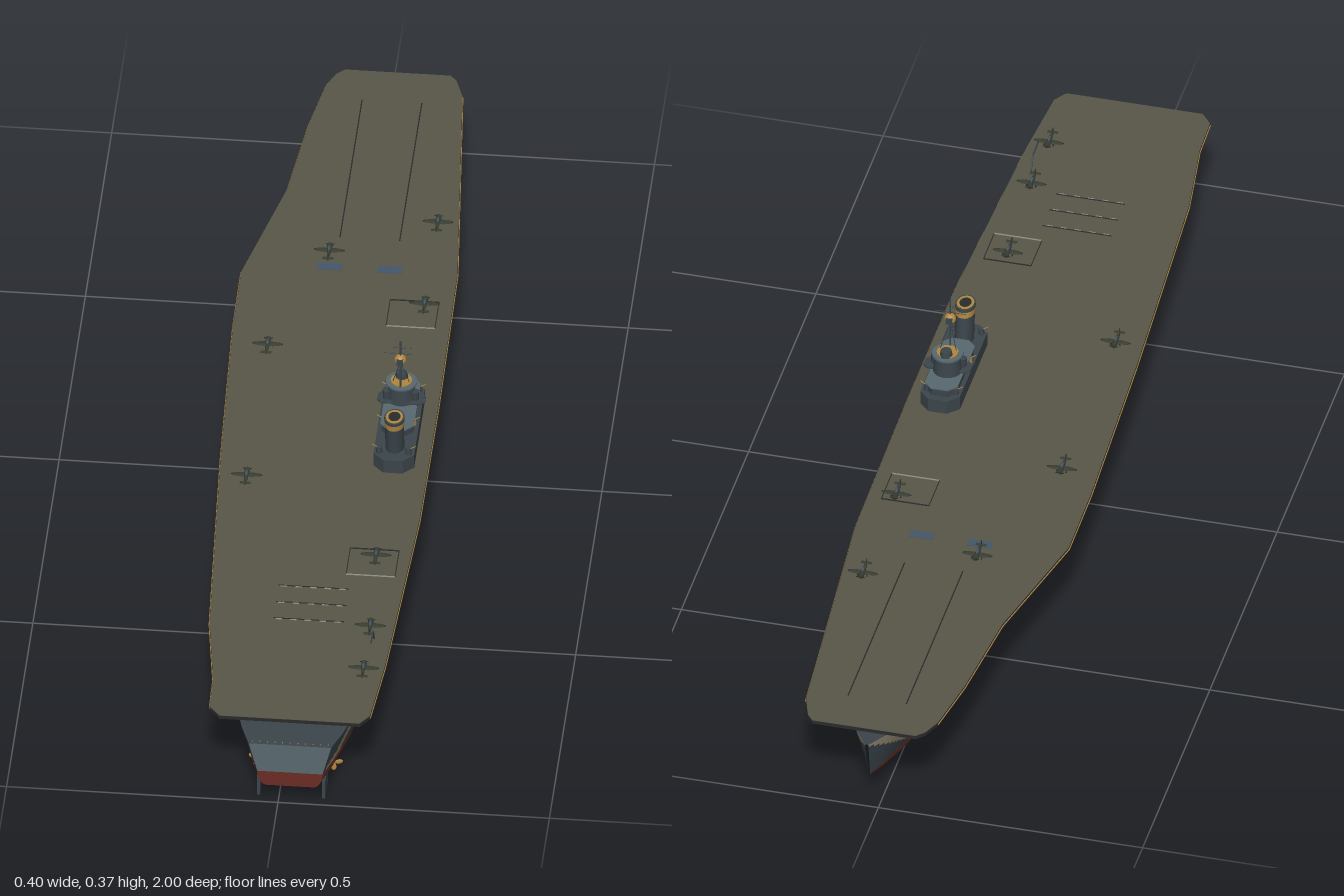
import * as THREE from 'three';

const mat = (name, color) => Object.assign(new THREE.MeshStandardMaterial({ color }), { name });
const M = {
  deck: mat('deck olive', 0x585648),
  red: mat('antifouling red', 0x6a2c25),
  dark: mat('dark slate', 0x3b454b),
  grey: mat('blue grey', 0x596970),
  sand: mat('sand', 0x958a73),
  blue: mat('dull blue', 0x44566a),
  gold: mat('brass', 0xb08740),
  plane: mat('aircraft green', 0x3a3f34),
  line: mat('marking grey', 0x8f9088),
  black: mat('track black', 0x2a2c2b),
};
const CX = 0.022; // hull centreline

// Piecewise linear interpolation through [key, value] pairs
function lerp(table, k) {
  if (k <= table[0][0]) return table[0][1];
  for (let i = 1; i < table.length; i++) {
    const [a, va] = table[i - 1], [b, vb] = table[i];
    if (k <= b) return va + (vb - va) * (k - a) / (b - a);
  }
  return table[table.length - 1][1];
}

function add(parent, name, geo, material, x = 0, y = 0, z = 0) {
  const m = new THREE.Mesh(geo, material);
  m.name = name;
  m.position.set(x, y, z);
  parent.add(m);
  return m;
}
const box = (p, name, w, h, d, m, x, y, z) => add(p, name, new THREE.BoxGeometry(w, h, d), m, x, y, z);
const cyl = (p, name, r0, r1, h, m, x, y, z, n = 16) => add(p, name, new THREE.CylinderGeometry(r1, r0, h, n), m, x, y, z);

// Thin round bar between two points
function bar(p, name, a, b, r, m) {
  const A = new THREE.Vector3(...a), B = new THREE.Vector3(...b);
  const o = add(p, name, new THREE.CylinderGeometry(r, r, A.distanceTo(B), 6), m);
  o.position.copy(A).add(B).multiplyScalar(0.5);
  o.quaternion.setFromUnitVectors(new THREE.Vector3(0, 1, 0), B.sub(A).normalize());
  return o;
}

// Vertical prism from a plan outline of [x, z]
function prism(p, name, pts, y0, y1, m) {
  const shape = new THREE.Shape(pts.map(([x, z]) => new THREE.Vector2(x, -z)));
  const g = new THREE.ExtrudeGeometry(shape, { depth: y1 - y0, bevelEnabled: false });
  return add(p, name, g.rotateX(-Math.PI / 2), m, 0, y0, 0);
}
const chamfered = (x0, x1, z0, z1, c) => [[x0 + c, z0], [x1 - c, z0], [x1, z0 + c], [x1, z1 - c],
  [x1 - c, z1], [x0 + c, z1], [x0, z1 - c], [x0, z0 + c]];

// Surface through rows of points; pick(point, row, column) gives each quad its material
function grid(p, name, rows, pick) {
  const n = rows[0].length, mats = Object.values(M), bins = mats.map(() => []);
  for (let i = 0; i < rows.length - 1; i++) for (let j = 0; j < n - 1; j++) {
    const a = i * n + j, c = a + n;
    const mid = [0, 1, 2].map(k => (rows[i][j][k] + rows[i + 1][j + 1][k]) / 2);
    bins[mats.indexOf(pick(mid, i, j))].push(a, a + 1, c, a + 1, c + 1, c);
  }
  const g = new THREE.BufferGeometry();
  g.setAttribute('position', new THREE.Float32BufferAttribute(rows.flat(2), 3));
  g.setIndex(bins.flat());
  let start = 0;
  bins.forEach((b, i) => { if (b.length) g.addGroup(start, b.length, i); start += b.length; });
  g.computeVertexNormals();
  return add(p, name, g, mats);
}

// Hull lines along z, bow at -1 and stern at +1
const beam = [[-1, .003], [-.95, .035], [-.88, .066], [-.75, .105], [-.6, .132], [-.4, .146], [.5, .146], [.7, .138], [.85, .119], [.95, .094], [1, .076]];
const keel = [[-1, .057], [-.96, .042], [-.88, .024], [-.72, .006], [-.5, .002], [.5, .002], [.75, .01], [.9, .024], [1, .04]];
const water = [[-1, .061], [-.8, .057], [.7, .057], [1, .071]];
const fine = [[-1, .5], [-.8, .62], [-.4, .91], [.6, .92], [1, .79]];
const flat = [[-1, .05], [.5, .05], [.8, .3], [1, .74]];
const sheer = [[-1, .141], [-.7, .135], [1, .133]];
const LOW = 10, HIGH = 12;
function section(z) {
  const w = lerp(beam, z), k = lerp(keel, z), wl = lerp(water, z), f = lerp(fine, z), fl = lerp(flat, z), top = lerp(sheer, z);
  const half = [];
  for (let j = 0; j <= LOW; j++) {
    const v = (j / LOW) ** 1.5;
    half.push([w * f * (fl + (1 - fl) * (1 - (1 - v) ** 2.2) ** .65), k + (wl - k) * v]);
  }
  for (let j = 1; j <= HIGH; j++) half.push([w * (f + (1 - f) * j / HIGH), wl + (top - wl) * j / HIGH]);
  // raked stem
  const rake = y => z < -.8 ? .02 * (-.8 - z) / .2 * (.14 - y) / .08 : 0;
  const pt = s => ([x, y]) => [CX + s * x, y, z + Math.min(rake(y), .03)];
  return [...half.slice().reverse().map(pt(-1)), ...half.map(pt(1))];
}

// Slanted camouflage bands: [upper limit, colour]
const bands = [[-.92, M.dark], [-.8, M.sand], [-.62, M.grey], [-.5, M.sand], [-.38, M.dark], [-.22, M.deck], [-.15, M.blue],
  [-.03, M.sand], [.12, M.grey], [.3, M.dark], [.44, M.sand], [.62, M.grey], [.87, M.dark], [.95, M.sand], [2, M.dark]];
const camo = ([, y, z]) => bands.find(b => z + 1.9 * (y - .095) < b[0])[1];

function buildHull(root) {
  const hull = new THREE.Group();
  hull.name = 'hull';
  root.add(hull);
  const rows = Array.from({ length: 161 }, (_, i) => section(-1 + i / 80));
  const n = rows[0].length, last = rows[160];
  const below = j => j >= HIGH && j < n - 1 - HIGH;
  grid(hull, 'hullShell', rows, (m, i, j) => below(j) ? M.red : camo(m));
  grid(hull, 'weatherDeck', rows.map(r => [r[0], r[n - 1]]).reverse(), () => M.dark);
  const pairs = Array.from({ length: n / 2 }, (_, j) => [last[n / 2 - 1 - j], last[n / 2 + j]]);
  grid(hull, 'transom', pairs, (m, i) => i < LOW ? M.red : M.grey);
  // hangar block under the flight deck
  prism(hull, 'hangar', [[CX - .05, -.84], [CX + .05, -.84], [.13, -.7], [.162, -.45], [.162, .55], [.145, .78], [.1, .87],
    [-.06, .87], [-.1, .78], [-.118, .55], [-.118, -.45], [-.086, -.7]], .131, .173, M.dark);
  box(hull, 'hangarDoor', .155, .037, .004, M.grey, CX, .152, .871);
  // rudders, shafts and screws
  for (const s of [-1, 1]) {
    box(hull, 'rudder', .006, .04, .05, M.dark, CX + s * .06, .021, .955);
    bar(hull, 'shaft', [CX + s * .06, .02, .68], [CX + s * .072, .02, .9], .003, M.gold);
    const screw = new THREE.Group();
    screw.name = 'screw';
    screw.position.set(CX + s * .072, .02, .895);
    for (let k = 0; k < 3; k++) {
      const a = k * Math.PI * 2 / 3 + .4;
      const b = add(screw, 'blade', new THREE.SphereGeometry(1, 10, 6), M.gold, Math.cos(a) * .009, Math.sin(a) * .009, 0);
      b.scale.set(.008, .005, .0015);
      b.rotation.set(0, 0, a);
    }
    hull.add(screw);
  }
}

const port = [[-1, -.07], [-.985, -.085], [-.95, -.1], [-.83, -.12], [-.63, -.14], [-.5, -.17], [-.37, -.2], [-.2, -.199], [.2, -.183], [.7, -.155], [.87, -.132], [.955, -.13], [.98, -.11]];
const starboard = [[-1, .125], [-.985, .137], [-.94, .152], [-.75, .167], [-.4, .195], [0, .199], [.35, .198], [.8, .178], [.955, .165], [.98, .148]];

function buildFlightDeck(root) {
  const deck = new THREE.Group();
  deck.name = 'flightDeck';
  root.add(deck);
  const plan = [...starboard, ...port.slice().reverse()].map(([z, x]) => [x, z]);
  prism(deck, 'deckSlab', plan, .172, .178, M.deck);
  prism(deck, 'deckEdge', plan.map(([x, z]) => [x * 1.003, z * 1.0005]), .1705, .1774, M.black);
  prism(deck, 'deckUnderside', plan.map(([x, z]) => [x * .99, z * .995]), .1695, .1706, M.deck);
  // brass side rails
  for (const side of [port, starboard]) for (let i = 2; i < side.length - 2; i++) {
    const [a, b] = [side[i], side[i + 1]].map(([z, x]) => [x * 1.003, .1735, z]);
    bar(deck, 'sideRail', a, b, .0016, M.gold);
  }
  const paint = (name, w, d, m, x, z) => box(deck, name, w, .001, d, m, x, .1784, z);
  for (const x of [-.03, .08]) paint('catapultTrack', .0022, .42, M.black, x, -.7);
  for (let i = 0; i < 3; i++) {
    paint('arresterWire', .13, .002, M.black, .025, .575 + i * .05);
    for (let k = 0; k < 5; k++) paint('arresterMark', .012, .003, M.line, -.03 + k * .027, .577 + i * .05);
  }
  for (const [x, z] of [[.125, -.27], [.125, .49]]) {
    paint('liftEdge', .09, .003, M.black, x, z - .04);
    paint('liftEdge', .09, .003, M.line, x, z + .04);
    for (const s of [-1, 1]) paint('liftSide', .0015, .08, M.black, x + s * .045, z);
  }
  for (const x of [-.04, .07]) paint('blastPlate', .045, .02, M.blue, x, -.4);
  // bracing and guns under the overhang
  for (let i = 0; i <= 30; i++) {
    const z = -.72 + i * .05;
    for (const [edge, s] of [[port, -1], [starboard, 1]]) {
      const x = lerp(edge, z), foot = CX + s * (lerp(beam, z) - .01);
      bar(deck, 'brace', [x * .985, .171, z], [foot, .137, z], .0014, i % 3 ? M.line : M.dark);
      if (i % 6 === 3) {
        const gx = foot + s * .008;
        box(deck, 'gunGallery', .026, .005, .08, M.dark, gx, .136, z);
        for (const k of [-1, 1]) {
          cyl(deck, 'gunMount', .006, .005, .009, M.gold, gx, .143, z + k * .02, 8);
          bar(deck, 'gunBarrel', [gx, .145, z + k * .02], [gx + s * .016, .152, z + k * .02], .0012, M.gold);
        }
      }
    }
  }
  for (let i = 0; i <= 10; i++) bar(deck, 'railPost', [CX - .07 + i * .014, .131, .994], [CX - .07 + i * .014, .135, .994], .001, M.gold);
}

function buildIsland(root) {
  const g = new THREE.Group(), X = .135;
  g.name = 'island';
  root.add(g);
  prism(g, 'islandBase', chamfered(.098, .173, -.028, .215, .02), .178, .206, M.dark);
  prism(g, 'islandTier', chamfered(.106, .164, -.015, .14, .015), .206, .223, M.dark);
  prism(g, 'tierEdge', chamfered(.104, .166, -.017, .142, .015), .221, .2235, M.grey);
  prism(g, 'bridgePlatform', chamfered(.092, .18, .035, .07, .008), .227, .23, M.dark);
  cyl(g, 'bridgeTower', .027, .024, .04, M.dark, X, .241, .045, 20);
  cyl(g, 'bridgeRoof', .029, .029, .004, M.grey, X, .261, .045, 20);
  cyl(g, 'bridgeTop', .02, .02, .002, M.gold, X, .264, .045, 20);
  cyl(g, 'director', .012, .01, .012, M.dark, X, .269, .035, 12);
  // raked oval funnel
  const tube = (name, r, y0, y1, m) => {
    const geo = new THREE.CylinderGeometry(r, r, y1 - y0, 20).scale(1, 1, 1.3);
    const p = geo.attributes.position;
    for (let i = 0; i < p.count; i++) p.setZ(i, p.getZ(i) + .12 * (p.getY(i) + (y0 + y1) / 2 - .206));
    geo.computeVertexNormals();
    add(g, name, geo, m, X, (y0 + y1) / 2, .17);
  };
  tube('funnel', .0175, .2, .276, M.dark);
  tube('funnelBand', .0185, .262, .274, M.gold);
  tube('funnelCap', .0188, .274, .28, M.dark);
  tube('funnelRim', .016, .279, .2806, M.gold);
  tube('funnelMouth', .011, .28, .281, M.black);
  // mast with yards, stays and radar
  const mz = .065;
  bar(g, 'mast', [X, .26, mz], [X, .368, mz], .0018, M.dark);
  for (const [y, w] of [[.353, .02], [.34, .029], [.303, .01]]) bar(g, 'yard', [X - w, y, mz], [X + w, y, mz], .0007, M.dark);
  for (const s of [-1, 1]) {
    bar(g, 'mastLeg', [X, .32, mz], [X + s * .016, .262, mz - .015], .0007, M.dark);
    cyl(g, 'lookoutTub', .007, .008, .018, M.dark, X + s * .026, .239, .055, 10);
    for (const z of [.0, .1, .19]) {
      cyl(g, 'islandGun', .006, .005, .012, z === .1 ? M.gold : M.dark, X + s * .027, .212, z, 8);
      bar(g, 'islandGunBarrel', [X + s * .027, .215, z], [X + s * .04, .223, z], .001, M.gold);
    }
  }
  add(g, 'radar', new THREE.SphereGeometry(.011, 16, 12), M.gold, X, .326, mz);
  box(g, 'radarFrame', .012, .012, .0235, M.dark, X, .326, mz);
}

// Parked propeller aircraft, nose towards the bow
function buildAircraft() {
  const a = new THREE.Group();
  a.name = 'aircraft';
  const body = cyl(a, 'fuselage', .002, .0055, .046, M.plane, 0, .008, .002, 10);
  body.rotation.x = -Math.PI / 2;
  const wing = add(a, 'wing', new THREE.SphereGeometry(1, 16, 6), M.plane, 0, .007, -.006);
  wing.scale.set(.029, .0014, .007);
  box(a, 'tailplane', .02, .0012, .006, M.plane, 0, .009, .022);
  box(a, 'fin', .0012, .009, .006, M.plane, 0, .013, .022);
  const canopy = add(a, 'canopy', new THREE.SphereGeometry(1, 10, 6), M.blue, 0, .013, -.004);
  canopy.scale.set(.003, .003, .008);
  box(a, 'propeller', .016, .0015, .0008, M.black, 0, .008, -.023);
  for (const s of [-1, 1]) bar(a, 'landingGear', [s * .008, .007, -.008], [s * .009, 0, -.009], .0012, M.black);
  return a;
}

export function createModel() {
  const root = new THREE.Group();
  root.name = 'aircraftCarrier';
  buildHull(root);
  buildFlightDeck(root);
  buildIsland(root);
  for (const [x, z] of [[-.045, -.435], [.145, -.54], [.145, -.29], [-.13, -.14], [-.13, .26], [.13, .48], [.14, .695], [.14, .825]]) {
    const a = buildAircraft();
    a.position.set(x, .178, z);
    root.add(a);
  }
  // deck crane
  bar(root, 'cranePost', [.15, .178, .72], [.15, .21, .74], .0015, M.dark);
  bar(root, 'craneJib', [.15, .21, .74], [.15, .212, .78], .0015, M.dark);
  return root;
}
